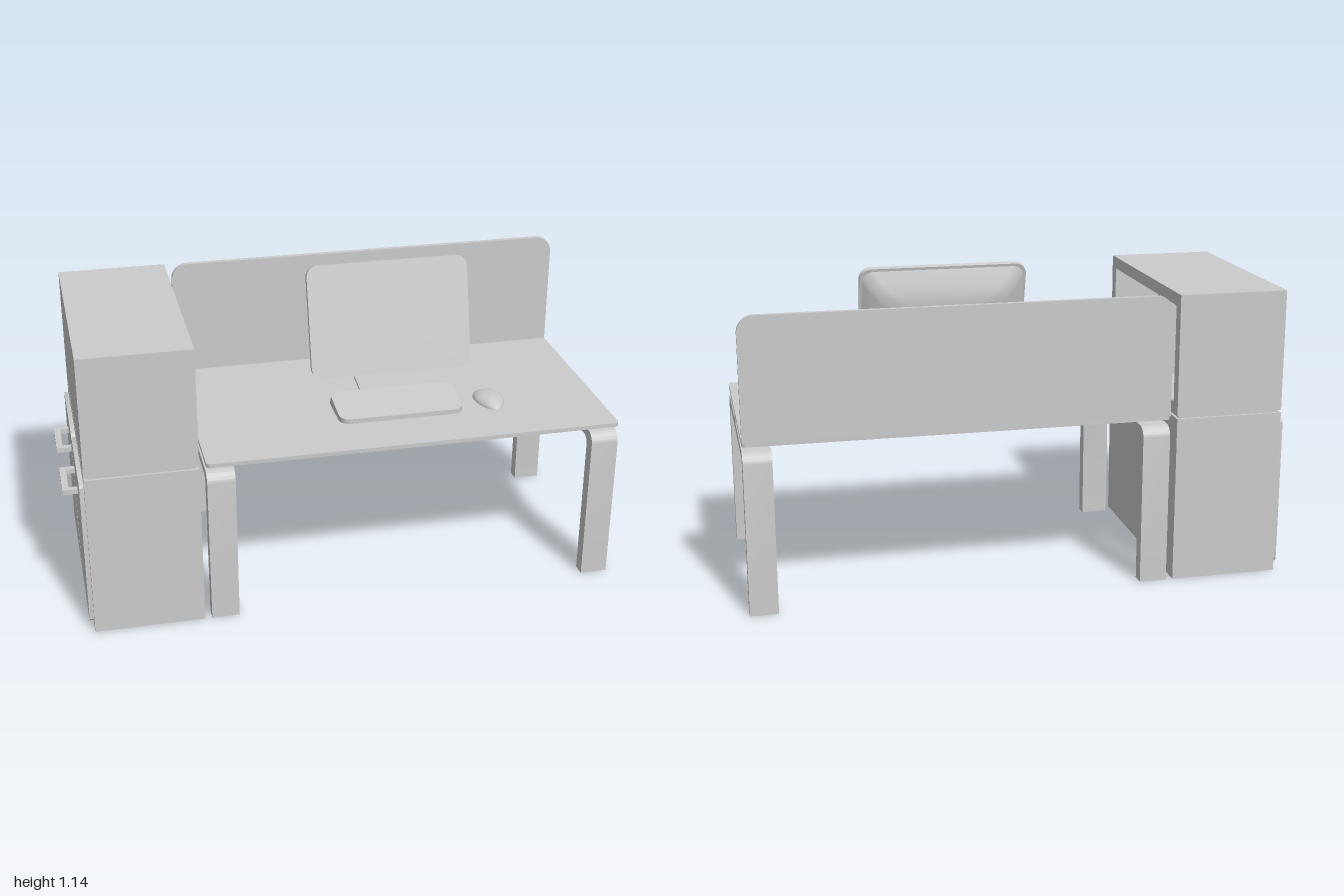
import * as THREE from 'three';
import { toCreasedNormals } from 'three/addons/utils/BufferGeometryUtils.js';

const material = new THREE.MeshStandardMaterial({ color: 0xcccccc });

export function createModel() {
  const model = new THREE.Group();

  const add = (name, geometry, parent = model) => {
    const mesh = new THREE.Mesh(geometry, material);
    mesh.name = name;
    parent.add(mesh);
    return mesh;
  };

  // Box given by its two extreme corners
  const box = (name, x0, x1, y0, y1, z0, z1, parent) =>
    add(name, new THREE.BoxGeometry(x1 - x0, y1 - y0, z1 - z0)
      .translate((x0 + x1) / 2, (y0 + y1) / 2, (z0 + z1) / 2), parent);

  // Rectangle outline with separate top and bottom corner radii
  const rect = (x0, x1, y0, y1, top = 0, bottom = top, Type = THREE.Shape) => {
    const s = new Type();
    s.moveTo(x0 + bottom, y0);
    s.lineTo(x1 - bottom, y0);
    if (bottom) s.absarc(x1 - bottom, y0 + bottom, bottom, -Math.PI / 2, 0);
    s.lineTo(x1, y1 - top);
    if (top) s.absarc(x1 - top, y1 - top, top, 0, Math.PI / 2);
    s.lineTo(x0 + top, y1);
    if (top) s.absarc(x0 + top, y1 - top, top, Math.PI / 2, Math.PI);
    s.lineTo(x0, y0 + bottom);
    if (bottom) s.absarc(x0 + bottom, y0 + bottom, bottom, Math.PI, Math.PI * 1.5);
    return s;
  };
  const extrude = (shape, depth) => new THREE.ExtrudeGeometry(shape, { depth, bevelEnabled: false, curveSegments: 8 });
  const smooth = (g) => toCreasedNormals(g, 0.6);
  // Extrude a (z, y) outline along x from x0 to x1
  const alongX = (shape, x0, x1) => smooth(extrude(shape, x1 - x0).rotateY(Math.PI / 2).translate(x0, 0, 0));

  // Skin over equal-sized rings, closed at both ends
  const loft = (rings) => {
    const n = rings[0].length, positions = rings.flat(2), index = [];
    for (let j = 0; j < rings.length - 1; j++) {
      for (let i = 0; i < n; i++) {
        const k = (i + 1) % n, a = j * n + i, b = j * n + k;
        index.push(a, b, b + n, a, b + n, a + n);
      }
    }
    const last = (rings.length - 1) * n;
    for (let i = 1; i < n - 1; i++) index.push(0, i + 1, i, last, last + i, last + i + 1);
    const g = new THREE.BufferGeometry();
    g.setAttribute('position', new THREE.Float32BufferAttribute(positions, 3));
    g.setIndex(index);
    return smooth(g);
  };

  // Side cabinet with two doors and handles on the outer side
  box('cabinet', -0.93, -0.535, 0, 0.61, -0.41, 0.41);
  box('cabinetSpacer', -0.92, -0.545, 0.61, 0.62, -0.4, 0.4);
  for (const side of [-1, 1]) {
    const z0 = side < 0 ? -0.393 : 0.005, z1 = side < 0 ? -0.012 : 0.386;
    add('door', alongX(rect(-z1, -z0, 0.03, 0.58, 0.012), -0.946, -0.93));
    const handle = new THREE.Group();
    handle.name = 'handle';
    model.add(handle);
    const h0 = side < 0 ? -0.255 : 0.073, h1 = h0 + 0.178;
    box('handleBar', -1, -0.977, 0.478, 0.496, h0, h1, handle);
    box('handlePost', -0.977, -0.945, 0.478, 0.496, h0, h0 + 0.022, handle);
    box('handlePost', -0.977, -0.945, 0.478, 0.496, h1 - 0.022, h1, handle);
  }

  // Open shelf box above the cabinet, facing the desk
  const shelf = rect(-0.41, 0.41, 0.62, 1.06);
  shelf.holes.push(rect(-0.365, 0.365, 0.665, 1.015, 0, 0, THREE.Path));
  add('shelfBox', alongX(shelf, -0.91, -0.535));
  box('shelfBack', -0.93, -0.91, 0.62, 1.06, -0.41, 0.41);
  box('computerTower', -0.87, -0.6, 0.675, 0.985, -0.027, 0.03);

  // Desk top, centre beam and leg frames
  add('deskTop', smooth(extrude(rect(-0.51, 1, -0.41, 0.41, 0.015), 0.015)
    .rotateX(-Math.PI / 2).translate(0, 0.61, 0)));
  box('centreBeam', -0.41, 0.9, 0.555, 0.61, -0.02, 0.02);
  for (const x of [-0.51, 0.9]) {
    const frame = new THREE.Shape();
    frame.moveTo(-0.41, 0);
    frame.lineTo(-0.362, 0);
    frame.lineTo(-0.362, 0.525);
    frame.absarc(-0.332, 0.525, 0.03, Math.PI, Math.PI / 2, true);
    frame.lineTo(0.332, 0.555);
    frame.absarc(0.332, 0.525, 0.03, Math.PI / 2, 0, true);
    frame.lineTo(0.362, 0);
    frame.lineTo(0.41, 0);
    frame.lineTo(0.41, 0.545);
    frame.absarc(0.37, 0.545, 0.04, 0, Math.PI / 2);
    frame.lineTo(-0.37, 0.585);
    frame.absarc(-0.37, 0.545, 0.04, Math.PI / 2, Math.PI);
    add('legFrame', alongX(frame, x, x + 0.1));
    box('topSupport', x, x + 0.1, 0.585, 0.61, -0.02, 0.02);
  }

  // Privacy screen along the back edge
  add('privacyScreen', smooth(extrude(rect(-0.51, 1, 0.622, 1.06, 0.06, 0), 0.02).translate(0, 0, -0.41)));

  // Tilted monitor: flat panel and domed back
  const monitor = new THREE.Group();
  monitor.name = 'monitor';
  monitor.position.set(0.243, 0.737, 0.045);
  monitor.rotation.x = -0.26;
  model.add(monitor);
  const W = 0.303, H = 0.417;
  add('screenPanel', smooth(extrude(rect(-W, W, 0, H, 0.042), 0.02).translate(0, 0, -0.02)), monitor);
  const ring = ([depth, side, bottom, top]) => {
    const points = [], r = 0.04;
    const corners = [[W - side, H - top], [side - W, H - top], [side - W, bottom], [W - side, bottom]];
    corners.forEach(([x, y], c) => {
      const cx = x - Math.sign(x) * r, cy = y + (c < 2 ? -r : r);
      for (let i = 0; i <= 6; i++) {
        const a = (c + i / 6) * Math.PI / 2;
        points.push([cx + r * Math.cos(a), cy + r * Math.sin(a), depth]);
      }
    });
    return points;
  };
  // Each row: depth, then insets at the sides, bottom and top
  const dome = [
    [0.019, 0.008, 0.012, 0.008], [0.04, 0.035, 0.045, 0.045], [0.058, 0.07, 0.075, 0.08],
    [0.069, 0.11, 0.105, 0.11], [0.074, 0.16, 0.14, 0.14],
  ];
  add('monitorBack', loft(dome.map(ring)).rotateY(Math.PI), monitor);

  // Bent strip stand, wider towards the foot; path in (z, y)
  const path = new THREE.Path();
  path.moveTo(-0.05, 0.925);
  path.lineTo(-0.12, 0.925);
  path.quadraticCurveTo(-0.148, 0.925, -0.156, 0.89);
  path.lineTo(-0.208, 0.69);
  path.quadraticCurveTo(-0.222, 0.63, -0.17, 0.63);
  path.lineTo(0.02, 0.63);
  const steps = 48, strip = [];
  for (let i = 0; i <= steps; i++) {
    const p = path.getPointAt(i / steps), t = path.getTangentAt(i / steps);
    const w = 0.065 + 0.04 * i / steps;
    strip.push([[1, 1], [-1, 1], [-1, -1], [1, -1]].map(([sx, sn]) =>
      [0.243 + sx * w, p.y + sn * 0.005 * t.x, p.x - sn * 0.005 * t.y]));
  }
  add('monitorStand', loft(strip));

  // Wedge keyboard, raised at the back
  const keyboard = extrude(rect(0.01, 0.475, -0.21, 0.01, 0.04), 0.02).rotateX(-Math.PI / 2);
  const kp = keyboard.attributes.position;
  for (let i = 0; i < kp.count; i++) {
    if (kp.getY(i) < 0.01) continue;
    const back = (0.21 - kp.getZ(i)) / 0.22;
    kp.setY(i, 0.018 + 0.022 * back);
    kp.setZ(i, kp.getZ(i) + 0.025 * back);
  }
  add('keyboard', smooth(keyboard.translate(0, 0.625, 0)));

  // Mouse: flattened half dome, narrower at one end
  const mouse = new THREE.SphereGeometry(1, 28, 10, 0, Math.PI * 2, 0, Math.PI / 2);
  const mp = mouse.attributes.position;
  for (let i = 0; i < mp.count; i++) {
    const z = mp.getZ(i);
    mp.setXYZ(i, mp.getX(i) * 0.054 * (1 - 0.25 * z), mp.getY(i) * 0.027, z * 0.088);
  }
  mouse.computeVertexNormals();
  add('mouse', mouse.translate(0.598, 0.625, 0.128));

  return model;
}
